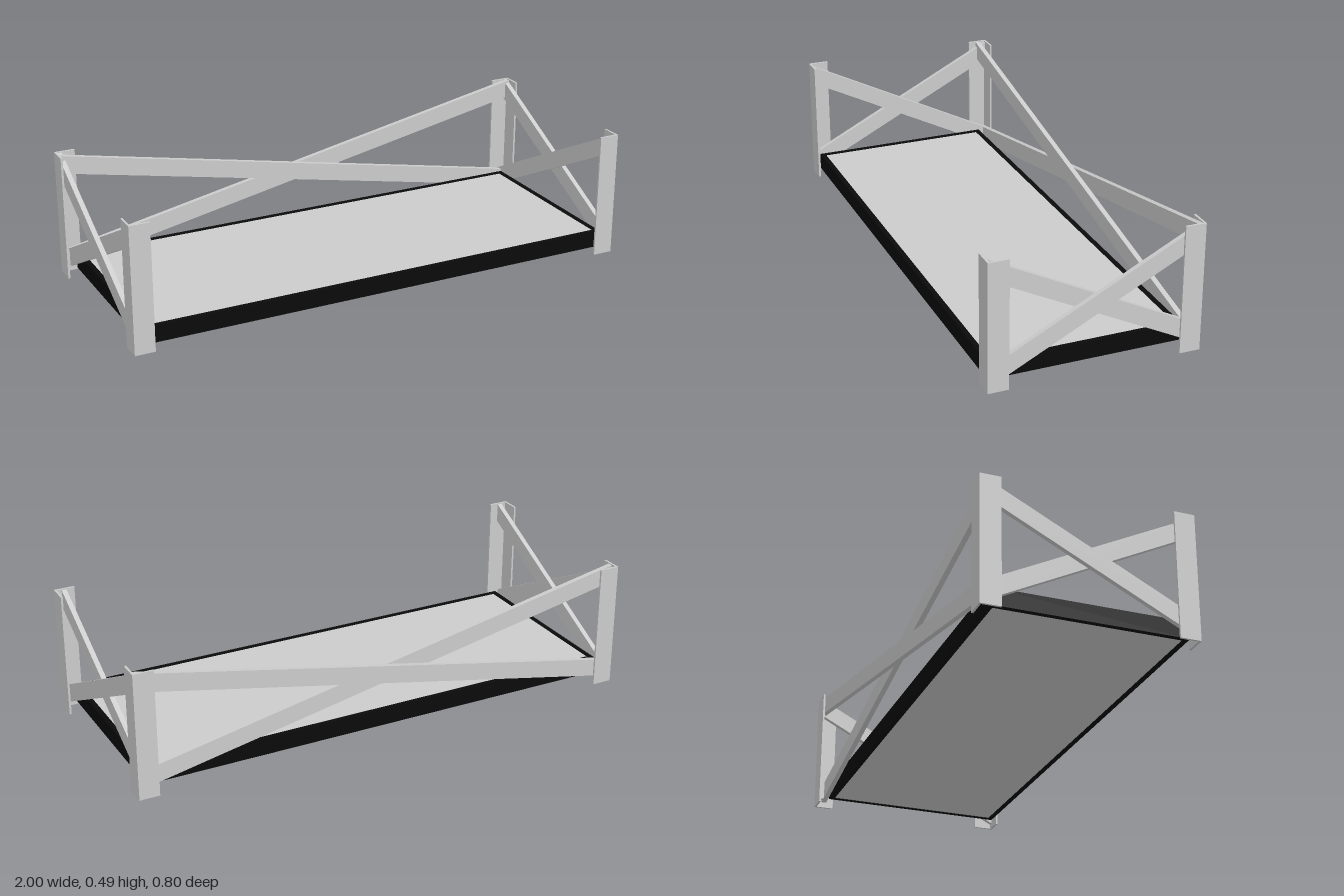
import * as THREE from 'three';

const grey = new THREE.MeshStandardMaterial({ color: 0xcccccc });
const black = new THREE.MeshStandardMaterial({ color: 0x0a0a0a });

const X = 1, Z = 0.4, H = 0.49;   // half width, half depth, post height
const LEG = 0.078, T = 0.008;     // angle-iron flange width and thickness

function extrude(points, depth) {
  const shape = new THREE.Shape(points.map(([x, y]) => new THREE.Vector2(x, y)));
  return new THREE.ExtrudeGeometry(shape, { depth, bevelEnabled: false });
}

function add(parent, name, geometry, material = grey) {
  const mesh = new THREE.Mesh(geometry, material);
  mesh.name = name;
  parent.add(mesh);
  return mesh;
}

// L-section upright with its outer corner at the origin, flanges along +x and +z
function postGeometry() {
  const g = extrude([[0, 0], [LEG, 0], [LEG, T], [T, T], [T, LEG], [0, LEG]], H);
  return g.rotateX(Math.PI / 2).translate(0, H, 0);
}

// Diagonal flat bar with plumb-cut ends, rising along +x when dir is 1
function braceGeometry(half, height, mid, rise, dir, thick) {
  const h = height / 2, a = mid - dir * rise, b = mid + dir * rise;
  return extrude([[-half, a - h], [half, b - h], [half, b + h], [-half, a + h]], thick);
}

export function createModel() {
  const model = new THREE.Group();
  model.name = 'shelf';

  // Corner posts, each turned so that its flanges point inwards
  const corners = [[-X, -Z, 0], [-X, Z, 1], [X, Z, 2], [X, -Z, 3]];
  for (const [x, z, turn] of corners) {
    const post = add(model, 'cornerPost', postGeometry());
    post.position.set(x, 0, z);
    post.rotation.y = turn * Math.PI / 2;
  }

  // Shelf: black rim around a grey panel
  const shelf = new THREE.Group();
  shelf.name = 'shelfTray';
  model.add(shelf);
  const x0 = 0.953, zb = -0.35, zf = 0.382, rim = 0.02, y0 = 0.026, y1 = 0.091;
  const outline = new THREE.Shape([[-x0, -zf], [x0, -zf], [x0, -zb], [-x0, -zb]]
    .map(([x, y]) => new THREE.Vector2(x, y)));
  outline.holes.push(new THREE.Path([
    [-x0 + rim, -zf + rim], [-x0 + rim, -zb - rim], [x0 - rim, -zb - rim], [x0 - rim, -zf + rim],
  ].map(([x, y]) => new THREE.Vector2(x, y))));
  const rimGeo = new THREE.ExtrudeGeometry(outline, { depth: y1 - y0, bevelEnabled: false });
  add(shelf, 'shelfRim', rimGeo.rotateX(-Math.PI / 2).translate(0, y0, 0), black);
  const panel = add(shelf, 'shelfPanel',
    new THREE.BoxGeometry(2 * (x0 - rim), y1 - y0 - 0.004, zf - zb - 2 * rim));
  panel.position.set(0, (y0 + y1) / 2, (zf + zb) / 2);

  // Back cross brace: one bar lies behind the other
  const back = new THREE.Group();
  back.name = 'backBrace';
  model.add(back);
  [1, -1].forEach((dir, i) => {
    const bar = add(back, 'backBraceBar', braceGeometry(0.99, 0.07, 0.255, 0.198, dir, 0.02));
    bar.position.z = -Z + T + i * 0.02;
  });

  // Side cross braces, mirrored left and right
  for (const side of [1, -1]) {
    const brace = new THREE.Group();
    brace.name = side > 0 ? 'leftBrace' : 'rightBrace';
    model.add(brace);
    [1, -1].forEach((dir, i) => {
      const bar = add(brace, 'sideBraceBar',
        braceGeometry(0.39, 0.074, 0.253, 0.197, dir * side, 0.019));
      bar.rotation.y = side * Math.PI / 2;
      bar.position.x = side * (X - T - (i + 1) * 0.019);
    });
  }
  return model;
}
